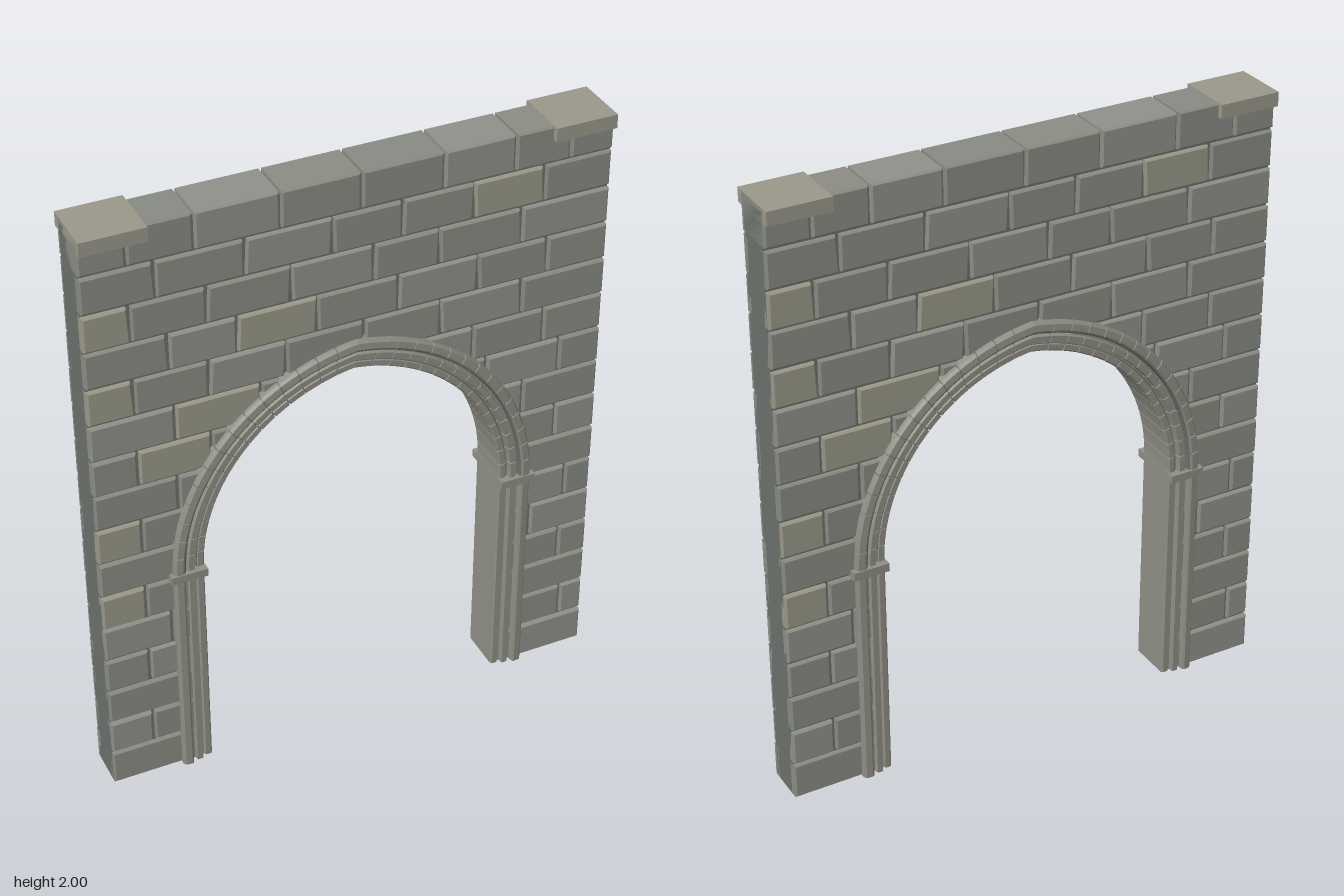
import * as THREE from 'three';

const HALF_W = 0.83, ROW = 0.125, SPRING = 0.77, OPEN = 0.5;
const C = 0.075, R = OPEN + C; // two-centred pointed arch: centre offset and radius

const mat = (color) => new THREE.MeshStandardMaterial({ color, flatShading: true, side: THREE.DoubleSide });
const brickMats = [0x8c8c84, 0x888a83, 0x90908a, 0x9a9888].map(mat);
const coreMat = mat(0x6c716c), trimMat = mat(0x8f8f85), capMat = mat(0x9a988a);

// Inner end of the masonry at height y, set back by off from the opening
function archX(y, off) {
  if (y <= SPRING) return OPEN + off;
  const q = (R + off) ** 2 - (y - SPRING) ** 2;
  return q > 0 ? Math.max(0, Math.sqrt(q) - C) : 0;
}

// Point on the right half of the arch; t runs from springing to apex
function archPoint(t, off) {
  const r = R + off, a = t * Math.acos(C / r);
  return [r * Math.cos(a) - C, SPRING + r * Math.sin(a)];
}

function box(name, x0, x1, y0, y1, hz, material) {
  const m = new THREE.Mesh(new THREE.BoxGeometry(x1 - x0, y1 - y0, hz * 2), material);
  m.position.set((x0 + x1) / 2, (y0 + y1) / 2, 0);
  m.name = name;
  return m;
}

// Sweep a closed [offset, z] section through path(t, offset) -> [x, y]
function sweep(section, path, t0, t1, steps) {
  const n = section.length, pos = [], idx = [];
  for (let i = 0; i <= steps; i++) {
    const t = t0 + (t1 - t0) * i / steps;
    for (const [off, z] of section) pos.push(...path(t, off), z);
  }
  for (let i = 0; i < steps; i++) for (let j = 0; j < n; j++) {
    const a = i * n + j, b = i * n + (j + 1) % n;
    idx.push(a, b, a + n, b, b + n, a + n);
  }
  const ends = THREE.ShapeUtils.triangulateShape(section.map(p => new THREE.Vector2(...p)), []);
  for (const [a, b, c] of ends) {
    idx.push(a, b, c, a + steps * n, c + steps * n, b + steps * n);
  }
  const g = new THREE.BufferGeometry();
  g.setAttribute('position', new THREE.Float32BufferAttribute(pos, 3));
  g.setIndex(idx);
  g.computeVertexNormals();
  return g;
}

// Bevelled block from an outline, between two depths
function block(points, z0, z1, material) {
  const bevel = 0.005;
  const g = new THREE.ExtrudeGeometry(new THREE.Shape(points.map(p => new THREE.Vector2(...p))), {
    depth: z1 - z0 - 2 * bevel, bevelEnabled: true, bevelSize: bevel,
    bevelThickness: bevel, bevelOffset: -bevel, bevelSegments: 1,
  });
  g.translate(0, 0, z0 + bevel);
  const m = new THREE.Mesh(g, material);
  m.name = 'brick';
  return m;
}

// Vertical joints in each course, bottom to top
const COURSES = [
  [0], [-0.69, 0, 0.75], [0], [-0.69, 0, 0.73], [-0.61, 0, 0.62], [-0.69, 0, 0.74],
  [-0.57, 0, 0.57], [-0.69, 0, 0.69], [-0.57, 0, 0.57], [-0.69, -0.46, 0, 0.44, 0.69],
  [-0.57, -0.3, 0, 0.39, 0.63], [-0.69, -0.46, -0.22, 0.03, 0.28, 0.55],
  [-0.58, -0.37, -0.12, 0.14, 0.4, 0.63], [-0.69, -0.46, -0.2, 0.06, 0.27, 0.54],
  [-0.61, -0.34, -0.07, 0.15, 0.38, 0.61],
];
const TOP = [-0.69, -0.49, -0.23, 0.02, 0.28, 0.51, 0.69];
const LIGHT = ['14:5', '13:0', '12:2', '11:0', '10:1', '9:1', '7:0', '5:0'];

// One face of brickwork, trimmed around the arch
function brickFace() {
  const face = new THREE.Group(), gap = 0.005;
  COURSES.forEach((joints, row) => {
    const xs = [-HALF_W - gap, ...joints, HALF_W + gap];
    const y0 = row * ROW + (row ? gap : 0), y1 = (row + 1) * ROW - gap;
    for (let k = 0; k + 1 < xs.length; k++) {
      const x0 = xs[k] + gap, x1 = xs[k + 1] - gap;
      const m = brickMats[LIGHT.includes(row + ':' + k) ? 3 : (row * 2 + k * 5) % 3];
      const z1 = 0.073 + ((row * 7 + k * 3) % 4) * 0.001;
      const tilt = (((row * 5 + k * 7) % 5) - 2) * 0.0015;
      if (row > 10) {
        const a = k ? tilt : 0, b = k + 2 < xs.length ? tilt : 0;
        face.add(block([[x0 - a, y0], [x1 - b, y0], [x1 + b, y1], [x0 + a, y1]], 0.04, z1, m));
        continue;
      }
      const s = x0 + x1 > 0 ? 1 : -1;
      const near = Math.min(s * x0, s * x1), far = Math.max(s * x0, s * x1);
      const ys = [];
      for (let i = 0; i <= 8; i++) {
        const y = y0 + (y1 - y0) * i / 8;
        if (archX(y, 0.04) < far - 0.015) ys.push(y);
      }
      if (ys.length < 3) continue;
      const inner = ys.map(y => [s * Math.max(near, archX(y, 0.04)), y]);
      face.add(block([...inner, [s * far, y1], [s * far, ys[0]]], 0.04, z1, m));
    }
  });
  return face;
}

export function createModel() {
  const model = new THREE.Group();

  // Wall core behind the bricks
  const outline = [[-HALF_W, 0], [-HALF_W, 1.985], [HALF_W, 1.985], [HALF_W, 0], [OPEN + 0.03, 0]];
  for (let i = 0; i <= 24; i++) outline.push(archPoint(i / 24, 0.03));
  for (let i = 23; i >= 0; i--) {
    const [x, y] = archPoint(i / 24, 0.03);
    outline.push([-x, y]);
  }
  outline.push([-OPEN - 0.03, 0]);
  const coreGeo = new THREE.ExtrudeGeometry(
    new THREE.Shape(outline.map(p => new THREE.Vector2(...p))), { depth: 0.12, bevelEnabled: false });
  coreGeo.translate(0, 0, -0.06);
  const core = new THREE.Mesh(coreGeo, coreMat);
  core.name = 'wallCore';
  model.add(core);

  // Brickwork on both faces
  for (const [name, turn] of [['frontBricks', 0], ['backBricks', Math.PI]]) {
    const face = brickFace();
    face.name = name;
    face.rotation.y = turn;
    model.add(face);
  }

  // Full-depth top course
  const topCourse = new THREE.Group();
  topCourse.name = 'topCourse';
  const tx = [-HALF_W, ...TOP, HALF_W];
  for (let k = 0; k + 1 < tx.length; k++) {
    const a = tx[k] + (k ? 0.004 : 0), b = tx[k + 1] - (k + 2 < tx.length ? 0.004 : 0);
    topCourse.add(block([[a, 1.88], [b, 1.88], [b, 1.998], [a, 1.998]], -0.075, 0.075, brickMats[k % 3]));
  }
  model.add(topCourse);

  // Stepped moulding section, inner edge to outer edge, mirrored front to back
  const half = [[0, 0.07], [0.005, 0.076], [0.022, 0.076], [0.026, 0.068], [0.032, 0.068], [0.036, 0.086],
    [0.054, 0.086], [0.058, 0.072], [0.066, 0.072], [0.07, 0.092], [0.076, 0.096], [0.096, 0.094], [0.103, 0.085]];
  const section = [...half, ...half.map(([o, z]) => [o, -z]).reverse()];
  const joint = half.map(([o, z]) => [o + (o < 0.05 ? 0.004 : -0.004), z - 0.004]);
  const backing = [...joint, ...joint.map(([o, z]) => [o, -z]).reverse()];
  const jambGeo = sweep(section, (t, o) => [OPEN + o, t], 0, 0.75, 1);
  const backingGeo = sweep(backing, archPoint, 0, 1, 32);
  const COUNT = 15;

  // Each side: jamb, capital, corner cap and half of the arch
  for (const [side, turn] of [['left', 0], ['right', Math.PI]]) {
    const g = new THREE.Group();
    g.name = side + 'Side';
    g.rotation.y = turn;
    const jamb = new THREE.Mesh(jambGeo, trimMat);
    jamb.name = 'jamb';
    const fill = new THREE.Mesh(backingGeo, coreMat);
    fill.name = 'archJoints';
    g.add(jamb, fill);
    for (let i = 0; i < COUNT; i++) {
      const v = new THREE.Mesh(
        sweep(section, archPoint, i / COUNT, (i + (i < COUNT - 1 ? 0.94 : 1)) / COUNT, 3), trimMat);
      v.name = 'archStone';
      g.add(v);
    }
    g.add(box('capital', OPEN - 0.002, 0.615, 0.745, 0.772, 0.099, trimMat));
    g.add(box('cornerCap', 0.63, HALF_W, 1.955, 2, 0.093, capMat));
    model.add(g);
  }
  return model;
}
